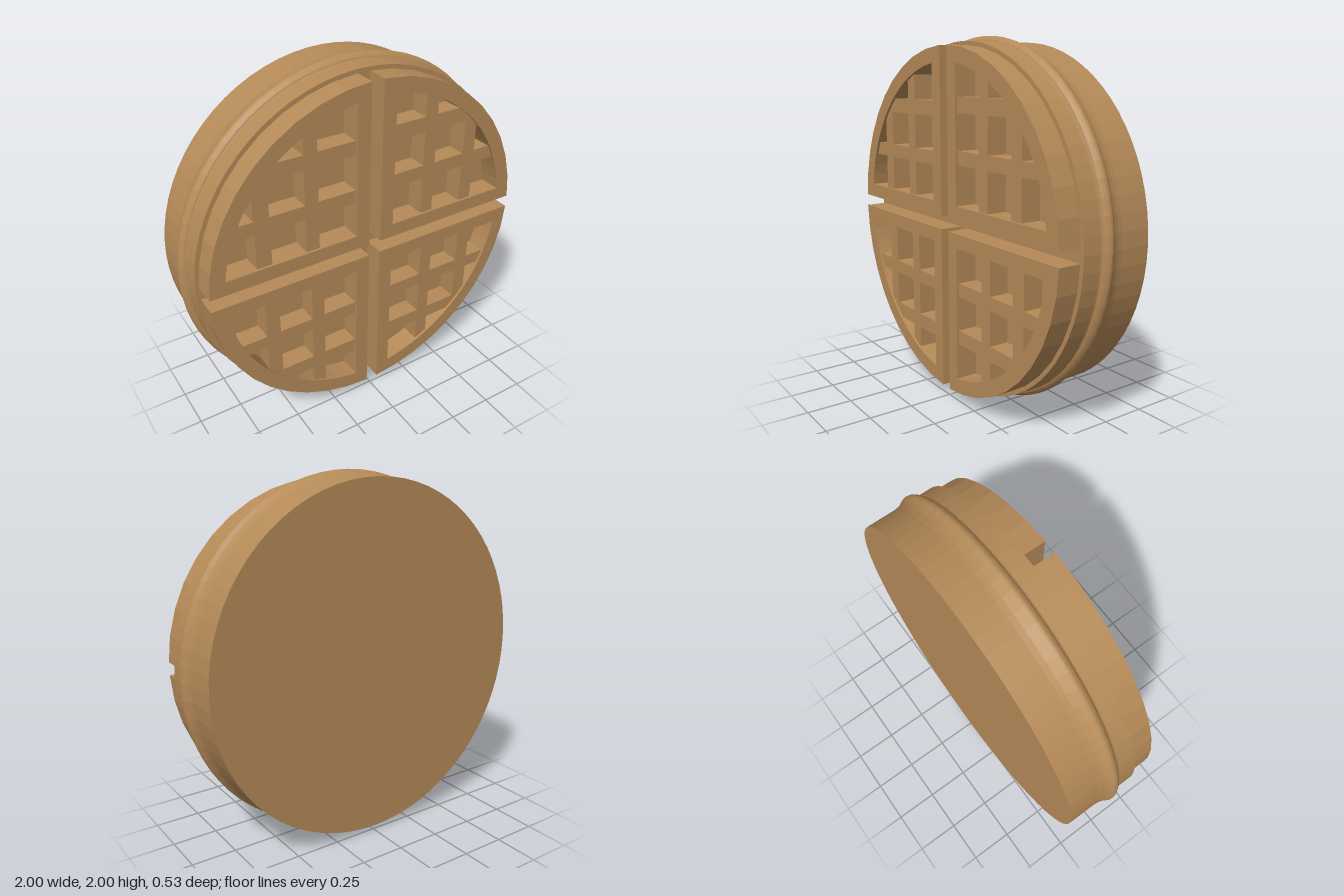
import * as THREE from 'three';

const GAP = 0.035;      // half width of the cross groove
const INNER = 0.114;    // straight inner edge of the frame opening
const R_OUT = 0.948;    // outer radius of the frames
const R_IN = 0.864;     // outer radius of the frame opening
const TUCK = 0.02;      // how far rib ends reach into the frame
const Z_BASE = 0.145, Z_TOP = 0.27, Z_RIB = 0.256;

// Rectangle (first quadrant) clipped by a circle round the origin
function clippedRect(x0, x1, y0, y1, r, steps = 10) {
  const xEnd = Math.min(x1, Math.sqrt(r * r - y0 * y0));
  const xArc = y1 < r ? Math.max(x0, Math.sqrt(r * r - y1 * y1)) : x0;
  const pts = [new THREE.Vector2(x0, y0), new THREE.Vector2(xEnd, y0)];
  // follow the arc from the right end back to the top edge
  const a0 = Math.acos(xEnd / r), a1 = Math.acos(xArc / r);
  const n = Math.max(1, Math.ceil(steps * (a1 - a0) / (Math.PI / 2)));
  for (let i = 0; i <= n; i++) {
    const a = a0 + (a1 - a0) * i / n;
    const p = new THREE.Vector2(r * Math.cos(a), r * Math.sin(a));
    if (p.distanceTo(pts[pts.length - 1]) > 1e-4) pts.push(p);
  }
  if (xArc > x0 + 1e-4) pts.push(new THREE.Vector2(x0, y1));
  return pts;
}

// Mirror points into another quarter, keeping them counter-clockwise
function mirrored(pts, sx, sy) {
  const out = pts.map(p => new THREE.Vector2(p.x * sx, p.y * sy));
  return sx * sy < 0 ? out.reverse() : out;
}

export function createModel() {
  const group = new THREE.Group();
  group.name = 'waffle';
  const mat = new THREE.MeshStandardMaterial({ color: 0xb58a58, flatShading: true });

  const add = (parent, name, geometry) => {
    const mesh = new THREE.Mesh(geometry, mat);
    mesh.name = name;
    parent.add(mesh);
  };
  const slab = (shape, top) => new THREE.ExtrudeGeometry(shape,
    { depth: top - Z_BASE, bevelEnabled: false }).translate(0, 0, Z_BASE);

  // Round body with a raised seam bead: soft behind, stepped in front
  const profile = [
    [0, -0.265], [0.97, -0.265], [0.971, -0.09], [0.975, -0.06], [0.983, -0.035],
    [0.992, -0.02], [0.998, -0.01], [1, 0], [0.998, 0.01], [0.991, 0.022],
    [0.982, 0.031], [0.972, 0.036], [0.97, 0.045], [0.97, Z_BASE], [0, Z_BASE],
  ].map(([r, z]) => new THREE.Vector2(r, z));
  add(group, 'body', new THREE.LatheGeometry(profile, 72).rotateX(Math.PI / 2));

  // Four quarters: a frame with two ribs each way, slightly below its rim
  const narrow = [[0.31, 0.385], [0.578, 0.658]];
  const wide = [[0.33, 0.406], [0.60, 0.684]];
  const quarters = [
    ['upperLeftQuarter', 1, 1, narrow, wide],
    ['upperRightQuarter', -1, 1, wide, narrow],
    ['lowerRightQuarter', -1, -1, narrow, wide],
    ['lowerLeftQuarter', 1, -1, wide, narrow],
  ];
  for (const [name, sx, sy, ribsX, ribsY] of quarters) {
    const quarter = new THREE.Group();
    quarter.name = name;
    group.add(quarter);

    const frame = new THREE.Shape(mirrored(clippedRect(GAP, 2, GAP, 2, R_OUT), sx, sy));
    frame.holes.push(new THREE.Path(mirrored(clippedRect(INNER, 2, INNER, 2, R_IN, 20), sx, sy)));
    add(quarter, 'frame', slab(frame, Z_TOP));

    const start = INNER - TUCK, reach = R_IN + TUCK;
    for (const [a, b] of ribsX) {
      const pts = clippedRect(a, b, start, 2, reach);
      add(quarter, 'uprightRib', slab(new THREE.Shape(mirrored(pts, sx, sy)), Z_RIB));
    }
    for (const [a, b] of ribsY) {
      const pts = clippedRect(start, 2, a, b, reach);
      add(quarter, 'crossRib', slab(new THREE.Shape(mirrored(pts, sx, sy)), Z_RIB));
    }
  }

  for (const part of group.children) part.position.y = 1;
  return group;
}
